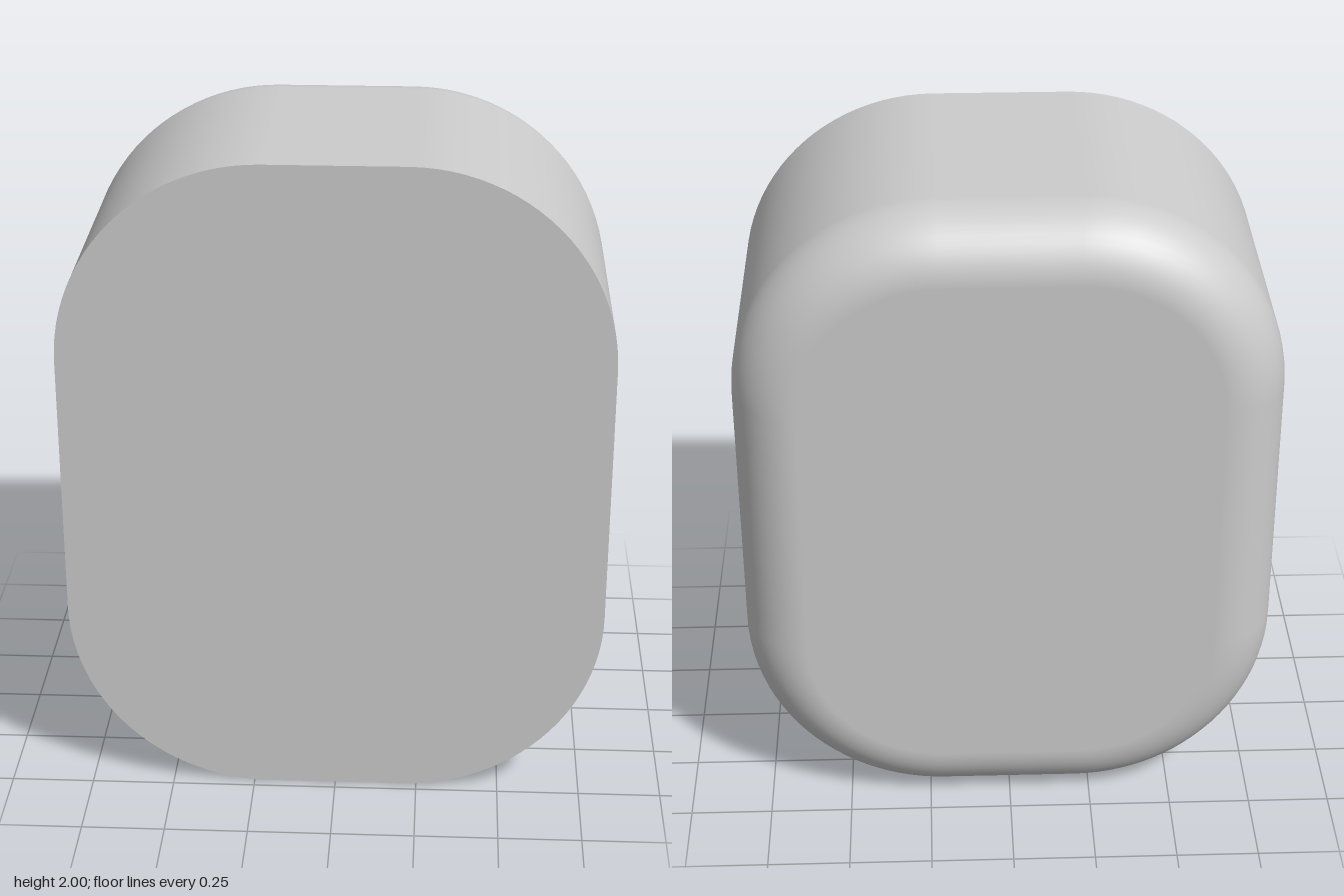
import * as THREE from 'three';

const HALF_W = 0.805, HALF_H = 1, HALF_D = 0.47;
const CORNER = 0.6, FILLET = 0.19;
const CORNER_STEPS = 24, FILLET_STEPS = 12;

// Rounded-rectangle outline, counter-clockwise from the front, drawn in by inset
function outline(inset) {
  const points = [];
  for (let q = 0; q < 4; q++) {
    const cx = (q === 0 || q === 3 ? 1 : -1) * (HALF_W - CORNER);
    const cy = HALF_H + (q < 2 ? 1 : -1) * (HALF_H - CORNER);
    for (let i = 0; i <= CORNER_STEPS; i++) {
      const a = (q + i / CORNER_STEPS) * Math.PI / 2;
      const nx = Math.cos(a), ny = Math.sin(a), r = CORNER - inset;
      points.push({ x: cx + r * nx, y: cy + r * ny, nx, ny });
    }
  }
  return points;
}

// Straight wall that rolls over into a quarter-round at the back
function wallGeometry() {
  const rings = [{ inset: 0, z: HALF_D, t: 0 }];
  for (let i = 0; i <= FILLET_STEPS; i++) {
    const t = i / FILLET_STEPS * Math.PI / 2;
    rings.push({
      inset: FILLET * (1 - Math.cos(t)),
      z: -HALF_D + FILLET * (1 - Math.sin(t)),
      t,
    });
  }
  const positions = [], normals = [], index = [];
  const n = 4 * (CORNER_STEPS + 1);
  rings.forEach(({ inset, z, t }, i) => {
    outline(inset).forEach((p, j) => {
      positions.push(p.x, p.y, z);
      normals.push(p.nx * Math.cos(t), p.ny * Math.cos(t), -Math.sin(t));
      if (i === rings.length - 1) return;
      const a = i * n + j, b = i * n + (j + 1) % n;
      index.push(a, a + n, b, b, a + n, b + n);
    });
  });
  const geometry = new THREE.BufferGeometry();
  geometry.setAttribute('position', new THREE.Float32BufferAttribute(positions, 3));
  geometry.setAttribute('normal', new THREE.Float32BufferAttribute(normals, 3));
  geometry.setIndex(index);
  return geometry;
}

// Flat face filling an outline
function faceGeometry(inset) {
  const shape = new THREE.Shape(outline(inset).map(p => new THREE.Vector2(p.x, p.y)));
  return new THREE.ShapeGeometry(shape);
}

export function createModel() {
  const group = new THREE.Group();
  group.name = 'roundedBlock';
  const material = new THREE.MeshStandardMaterial({ color: 0xcccccc });
  const add = (name, geometry) => {
    const mesh = new THREE.Mesh(geometry, material);
    mesh.name = name;
    group.add(mesh);
  };

  add('sideWall', wallGeometry());
  add('frontFace', faceGeometry(0).translate(0, 0, HALF_D));
  // The outline is symmetric, so a half turn makes the back face
  add('backFace', faceGeometry(FILLET).rotateY(Math.PI).translate(0, 0, -HALF_D));
  return group;
}
